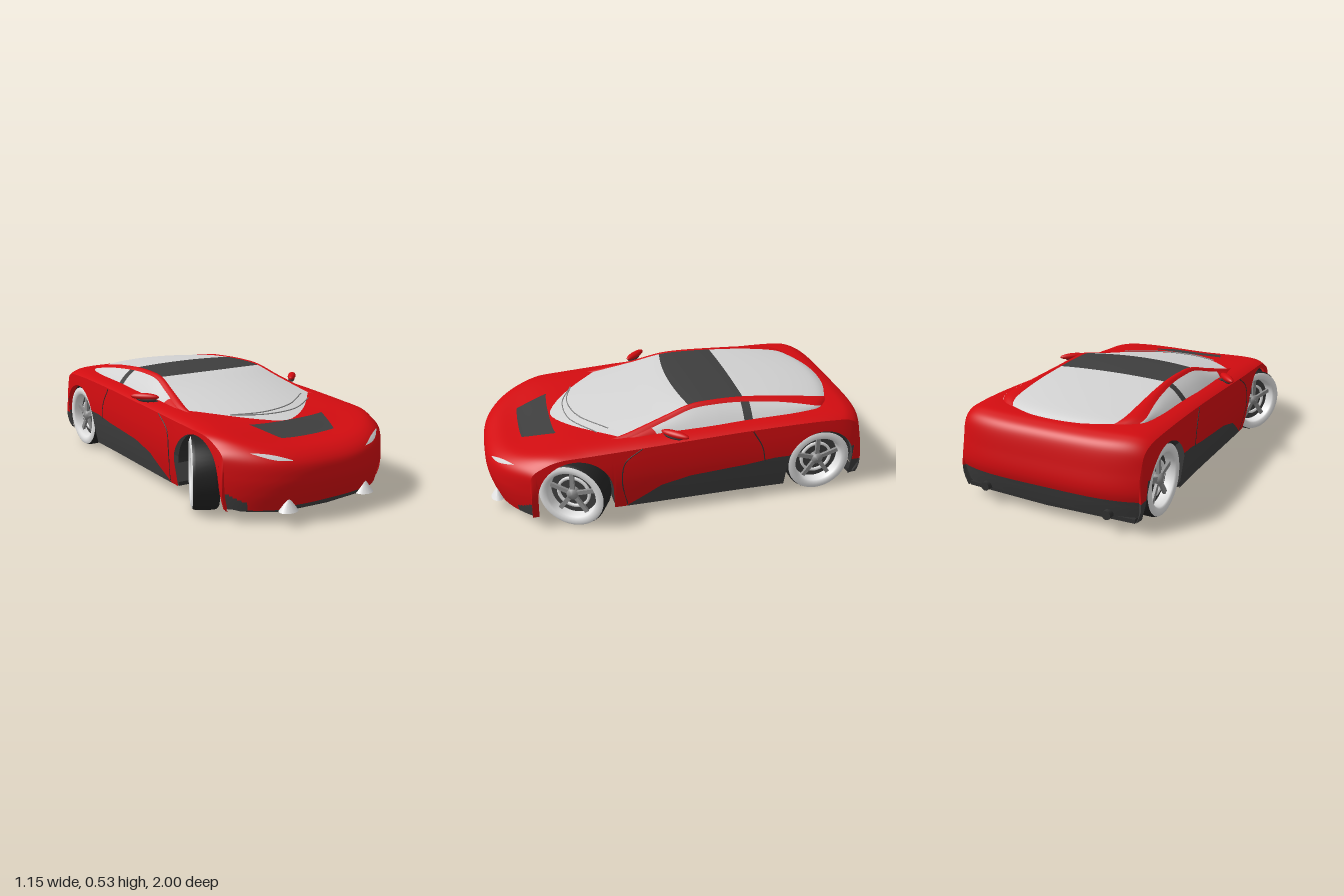
import * as THREE from 'three';

const mat = (name, color) => Object.assign(new THREE.MeshStandardMaterial({ color, side: THREE.DoubleSide }), { name });
const clamp = THREE.MathUtils.clamp, smooth = THREE.MathUtils.smoothstep;

// Smooth interpolation through table rows, u = row index
function rowSpline(rows) {
  const at = i => rows[clamp(i, 0, rows.length - 1)];
  return u => {
    const i = Math.min(Math.floor(u), rows.length - 2), t = u - i;
    const [a, b, c, d] = [at(i - 1), at(i), at(i + 1), at(i + 2)];
    return b.map((p, k) => p + 0.5 * t * (c[k] - a[k] + t * (2 * a[k] - 5 * p + 4 * c[k] - d[k] + t * (3 * (p - c[k]) + d[k] - a[k]))));
  };
}

// Straight-line lookup in [z, y] pairs, z descending
function lookup(pairs, z) {
  for (let i = 1; i < pairs.length; i++) {
    const [z0, y0] = pairs[i - 1], [z1, y1] = pairs[i];
    if (z <= z0 && z >= z1) return y0 + (y1 - y0) * (z0 - z) / (z0 - z1);
  }
  return 0;
}

// Grid surface; pick(u, v) chooses the material of each cell
function patch(name, fn, [u0, u1, nu], [v0, v1, nv], mats, pick = () => 0, flip = false) {
  const pos = [], faces = mats.map(() => []), U = i => u0 + (u1 - u0) * i / nu, V = j => v0 + (v1 - v0) * j / nv;
  for (let i = 0; i <= nu; i++) for (let j = 0; j <= nv; j++) pos.push(...fn(U(i), V(j)));
  for (let i = 0; i < nu; i++) for (let j = 0; j < nv; j++) {
    const a = i * (nv + 1) + j, b = a + nv + 1, c = a + 1, d = b + 1;
    faces[pick(U(i + 0.5), V(j + 0.5))].push(...(flip ? [a, b, c, b, d, c] : [a, c, b, b, c, d]));
  }
  const g = new THREE.BufferGeometry();
  g.setAttribute('position', new THREE.Float32BufferAttribute(pos, 3));
  g.setIndex(faces.flat());
  let start = 0;
  faces.forEach((f, k) => { g.addGroup(start, f.length, k); start += f.length; });
  g.computeVertexNormals();
  const m = new THREE.Mesh(g, mats.length > 1 ? mats : mats[0]);
  m.name = name;
  return m;
}

// Body from lower nose, over the top, to lower tail: station, centre height, edge height, half width
const bodyRow = rowSpline([
  [0.965, 0.065, 0.065, 0.455], [0.99, 0.14, 0.14, 0.47], [1, 0.21, 0.22, 0.475], [0.985, 0.28, 0.31, 0.475],
  [0.92, 0.325, 0.365, 0.475], [0.8, 0.345, 0.405, 0.48], [0.6, 0.385, 0.415, 0.485], [0.3, 0.41, 0.425, 0.49],
  [0, 0.42, 0.435, 0.49], [-0.3, 0.425, 0.445, 0.49], [-0.6, 0.43, 0.452, 0.495], [-0.82, 0.442, 0.448, 0.495],
  [-0.91, 0.43, 0.435, 0.49], [-0.965, 0.39, 0.39, 0.48], [-0.99, 0.28, 0.28, 0.475], [-1, 0.2, 0.2, 0.475],
  [-0.985, 0.135, 0.135, 0.47], [-0.965, 0.075, 0.075, 0.46]]);
function shell(u, v, lift = 0) {
  const [s, yc, ye, w] = bodyRow(u), x = w * v;
  const y = yc + (ye - yc) * v * v - 0.03 * v ** 10 * smooth(yc, 0.25, 0.36);
  const z = s - 0.17 * Math.abs(x / 0.45) ** 3 * clamp((s - 0.2) / 0.8, 0, 1) + 0.05 * (x / 0.47) ** 4 * clamp((-s - 0.5) / 0.5, 0, 1);
  return [x, y + lift, z + (u < 5 ? lift : 0)];
}

const FRONT = 0.58, REAR = -0.71, R = 0.176, ARCH = 0.187;
// Lower edge of the side, following the wheel arches
function sideBottom(z) {
  for (const c of [FRONT, REAR]) if (Math.abs(z - c) < ARCH) return R + Math.sqrt(ARCH ** 2 - (z - c) ** 2);
  return 0.055;
}
// Border between paint and dark sill
const sillTop = z => lookup([[0.33, 0.055], [0.15, 0.17], [0, 0.205], [-0.3, 0.225], [-0.45, 0.245], [-0.9, 0.25]], z) || (z < -0.9 ? 0.155 : 0);
function sidePoint(u, y) {
  const [x, top, z] = shell(u, 1), t = clamp((top - y) / (top - 0.05), 0, 1);
  return [x + 0.02 * Math.sin(Math.PI * t) - 0.02 * t, y, z];
}
function sideSpan(u) {
  const [, top, z] = shell(u, 1), low = Math.min(sideBottom(z), top - 0.005);
  return [top, clamp(sillTop(z), low, top), low];
}

// Cabin: station, centre height, then x and y of roof edge, rail edge and belt
const cabinRow = rowSpline([
  [0.66, 0.374, 0.385, 0.395, 0.4, 0.395, 0.415, 0.39], [0.45, 0.425, 0.37, 0.425, 0.4, 0.42, 0.425, 0.41],
  [0.2, 0.48, 0.338, 0.47, 0.368, 0.46, 0.425, 0.42], [0, 0.52, 0.313, 0.512, 0.343, 0.5, 0.425, 0.43],
  [-0.15, 0.529, 0.305, 0.52, 0.337, 0.508, 0.425, 0.435], [-0.33, 0.524, 0.3, 0.515, 0.337, 0.503, 0.42, 0.44],
  [-0.6, 0.5, 0.305, 0.49, 0.365, 0.48, 0.42, 0.445], [-0.8, 0.47, 0.3, 0.463, 0.385, 0.456, 0.405, 0.44],
  [-0.87, 0.442, 0.27, 0.44, 0.36, 0.435, 0.38, 0.43]]);
function cabinPoint(s, x, y) {
  return [x, y, s - 0.24 * (x / 0.4) ** 2 * clamp((s + 0.2) / 0.86, 0, 1) + 0.07 * (x / 0.3) ** 2 * clamp((-s - 0.5) / 0.37, 0, 1)];
}
function cabinTop(u, v, lift = 0) {
  const [s, yc, xr, yr] = cabinRow(u);
  return cabinPoint(s, xr * v, yc + (yr - yc) * v * v + lift);
}

export function createModel() {
  const car = new THREE.Group();
  car.name = 'sportsCar';
  const red = mat('red paint', 0xd20c10), dark = mat('dark trim', 0x3e3e3e), glass = mat('pale glass', 0xd2d2d2),
    rubber = mat('black rubber', 0x232323), white = mat('white wheel', 0xe2e2e2), metal = mat('grey metal', 0x8c8c8c),
    under = mat('underbody', 0x303030);
  const add = (name, geo, m, x = 0, y = 0, z = 0, parent = car) => {
    const mesh = new THREE.Mesh(geo, m);
    mesh.name = name;
    mesh.position.set(x, y, z);
    parent.add(mesh);
    return mesh;
  };
  const tube = (name, pts, r, m) => add(name, new THREE.TubeGeometry(
    new THREE.CatmullRomCurve3(pts.map(p => new THREE.Vector3(...p))), 20, r, 5), m);

  // Painted shell with dark bumper areas
  car.add(patch('bodyShell', (u, t) => shell(u, Math.sin(t * Math.PI / 2)), [0, 17, 170], [-1, 1, 40], [red, dark], (u, t) => {
    const v = Math.abs(Math.sin(t * Math.PI / 2));
    return u > 15.6 || (u < 0.3 && v < 0.42) || (v > 0.84 && u < 0.9 * (v - 0.72) / 0.24) ? 1 : 0;
  }));
  car.add(patch('hoodPanel', (u, v) => shell(u, v * (0.33 + 0.15 * (u - 4.95)), 0.004 - 0.002 * v * v),
    [4.95, 5.8, 10], [-1, 1, 16], [dark]));

  // Cabin top
  car.add(patch('windshield', cabinTop, [0, 3, 30], [-1, 1, 20], [glass]));
  car.add(patch('roofPanel', cabinTop, [3, 5, 16], [-1, 1, 20], [dark]));
  car.add(patch('rearWindow', cabinTop, [5, 8, 30], [-1, 1, 20], [glass]));
  for (const d of [0, 0.1])
    tube('wiper', [-0.62, -0.2, 0.3, 0.8].map((v, i) => cabinTop(0.4 + d * i + (i === 3 ? 0.15 : 0.1), v, 0.006)), 0.003, metal);

  for (const k of [1, -1]) {
    const mir = fn => (u, v) => { const p = fn(u, v); return [p[0] * k, p[1], p[2]]; };
    const half = (name, fn, us, vs, mats, pick) => car.add(patch(name, mir(fn), us, vs, mats, pick, k < 0));

    // Side panels and sills
    half('sidePanel', (u, t) => { const [a, b] = sideSpan(u); return sidePoint(u, a + (b - a) * t); }, [0, 17, 510], [0, 1, 7], [red]);
    half('sill', (u, t) => { const [, b, c] = sideSpan(u); return sidePoint(u, b + (c - b) * t); }, [0, 17, 510], [0, 1, 3], [dark]);

    // Roof rails and side windows with door pillar
    half('roofRail', (u, t) => {
      const [s, , xr, yr, xo, yo] = cabinRow(u);
      return cabinPoint(s, xr + (xo - xr) * t, yr + (yo - yr) * t + 0.008 * Math.sin(Math.PI * t));
    }, [0, 8, 64], [0, 1, 4], [red]);
    half('sideWindow', (u, t) => {
      const [s, , , , xo, yo, xb, yb] = cabinRow(u);
      return cabinPoint(s, xo + (xb - xo) * t, yo + (yb - 0.02 - yo) * t + 0.008 * Math.sin(Math.PI * t));
    }, [0, 8, 80], [0, 1, 5], [glass, red, dark], u => (u < 1.6 || u > 7.7 ? 1 : u > 4.9 && u < 5.1 ? 2 : 0));

    // Lamps
    half('headlight', (w, t) => {
      const v = 0.45 + 0.36 * t;
      return shell(3.12 + 0.42 * t + (w - 0.5) * 0.36 * Math.sin(Math.PI * t), v, 0.004);
    }, [0, 1, 4], [0, 1, 16], [glass]);
    const fog = add('fogLight', new THREE.ConeGeometry(0.05, 0.065, 16), white, 0.23 * k, 0.094, 0.955);
    fog.scale.z = 0.75;

    // Door seams
    const seam = (y, z) => {
      let best = 5;
      for (let u = 5; u < 13; u += 0.02) if (Math.abs(shell(u, 1)[2] - z) < Math.abs(shell(best, 1)[2] - z)) best = u;
      return mir(sidePoint)(best, y);
    };
    tube('doorSeam', [seam(0.07, 0.32), seam(0.22, 0.35), seam(0.33, 0.33), seam(0.395, 0.24)], 0.003, under);
    tube('doorSeam', [seam(0.23, -0.4), seam(0.32, -0.38), seam(0.41, -0.33)], 0.003, under);

    // Mirrors
    const mirror = new THREE.Group();
    mirror.name = 'mirror';
    mirror.position.set(0.478 * k, 0.447, 0.075);
    mirror.rotation.y = 0.83 * k;
    car.add(mirror);
    add('mirrorCap', new THREE.SphereGeometry(1, 20, 12), red, 0, 0, 0, mirror).scale.set(0.077, 0.018, 0.022);
    add('mirrorBase', new THREE.SphereGeometry(1, 20, 12), dark, -0.01 * k, -0.014, 0, mirror).scale.set(0.055, 0.015, 0.018);
    tube('mirrorArm', [[0.465 * k, 0.435, 0.09], [0.42 * k, 0.415, 0.11]], 0.008, dark);

    // Exhausts
    add('exhaust', new THREE.CylinderGeometry(0.022, 0.022, 0.06, 16).rotateX(Math.PI / 2), under, 0.33 * k, 0.085, -0.955);

    // Wheels and arch liners
    for (const z of [FRONT, REAR]) {
      add('archLiner', new THREE.CylinderGeometry(ARCH, ARCH, 0.22, 32, 1, true, 0, Math.PI).rotateZ(Math.PI / 2), under, 0.36 * k, R, z);
      const wheel = new THREE.Group();
      wheel.name = z > 0 ? 'frontWheel' : 'rearWheel';
      wheel.position.set((z > 0 ? 0.44 : 0.422) * k, R, z);
      wheel.rotation.y = (k > 0 ? 0 : Math.PI) - (z > 0 ? 0.5 : 0);
      car.add(wheel);
      const turned = (name, pts, m) => add(name, new THREE.LatheGeometry(
        pts.map(p => new THREE.Vector2(...p)), 48).rotateZ(-Math.PI / 2), m, 0, 0, 0, wheel);
      turned('tyre', [[0.125, -0.064], [0.16, -0.064], [0.172, -0.055], [R, -0.04], [R, 0.045], [0.17, 0.06]], rubber);
      turned('sidewall', [[0.17, 0.06], [0.155, 0.067], [0.135, 0.064], [0.128, 0.055], [0.125, 0.035]], white);
      turned('rimBarrel', [[0.125, 0.035], [0.12, 0], [0.125, -0.064]], white);
      turned('rimBack', [[0.122, 0.012], [0.001, 0.012]], dark);
      turned('hubRing', [[0.088, 0.014], [0.088, 0.024], [0.074, 0.024], [0.074, 0.014]], white);
      turned('hub', [[0.03, 0.01], [0.028, 0.046], [0.001, 0.05]], metal);
      turned('axle', [[0.025, 0.01], [0.025, -0.2]], under);
      for (let i = 0; i < 5; i++) {
        const spoke = new THREE.BoxGeometry(0.014, 0.1, 0.022).translate(0.032, 0.07, 0).rotateX(i * Math.PI * 0.4);
        add('spoke', spoke, metal, 0, 0, 0, wheel);
      }
    }
  }

  // Floor pan notched for the wheels, and central tub
  const edge = [[0, 0.95], [0.25, 0.93], [0.4, 0.83], [0.42, 0.78], [0.25, 0.77], [0.25, 0.39], [0.46, 0.38], [0.465, -0.51],
    [0.25, -0.52], [0.25, -0.9], [0.45, -0.905], [0.45, -0.94], [0, -0.96]];
  const outline = [...edge, ...edge.slice(1, -1).reverse().map(([x, z]) => [-x, z])].map(p => new THREE.Vector2(...p));
  add('floorPan', new THREE.ExtrudeGeometry(new THREE.Shape(outline), { depth: 0.02, bevelEnabled: false }).rotateX(Math.PI / 2), under, 0, 0.072, 0);
  add('centralTub', new THREE.BoxGeometry(0.5, 0.26, 1.66), under, 0, 0.19, -0.07);
  return car;
}
